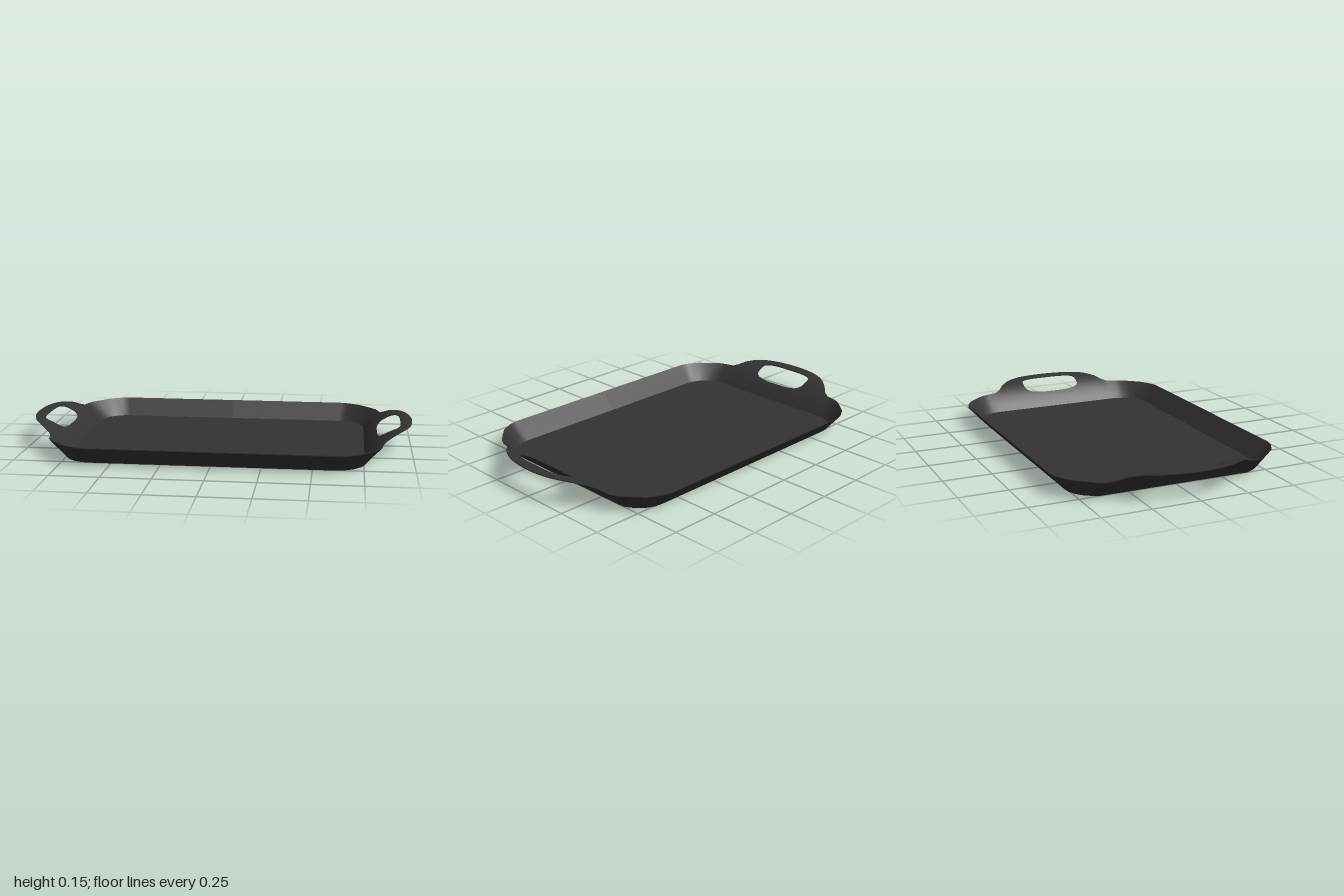
import * as THREE from 'three';
import { mergeGeometries } from 'three/addons/utils/BufferGeometryUtils.js';

const T = 0.005;        // sheet thickness
const FLOOR_X = 0.755, FLOOR_Z = 0.512, FLOOR_R = 0.15;
const HOLE_X = 0.88, HOLE_W = 0.06, HOLE_Z = 0.17;
const STEPS = 8;

// Curved handle section: steep at the floor, level at the tip
const handleY = (x) => 0.138 * (1 - Math.pow(Math.max(0, (1 - x) / (1 - FLOOR_X)), 2.5));
const handleEdgeX = (z) => 1 - 0.75 * z * z - 5 * z ** 4;

// One column of the wall: floor point, rim point, half width of grip hole, handle weight
function quadrantColumns() {
  const cols = [];
  const handleCol = (z, hole) =>
    cols.push({ ix: FLOOR_X, iz: z, ox: handleEdgeX(z), oz: z, hole, w: 1 });
  for (let i = 0; i <= 12; i++) {
    const s = Math.sin((i / 12) * Math.PI / 2);
    handleCol(HOLE_Z * s, i === 12 ? 0 : HOLE_W * Math.pow(1 - s ** 3.5, 1 / 3.5));
  }
  for (const z of [0.2, 0.23, 0.26, 0.3, 0.33]) handleCol(z, 0);
  // Rounded corner of the rim, matched to the floor corner
  const rim = [[0.843, 0.36], [0.836, 0.41], [0.82, 0.445], [0.786, 0.487], [0.733, 0.545], [0.67, 0.58], [0.626, 0.592]];
  rim.forEach(([ox, oz], i) => {
    const a = (i / (rim.length - 1)) * Math.PI / 2;
    cols.push({
      ix: FLOOR_X - FLOOR_R * (1 - Math.cos(a)),
      iz: FLOOR_Z - FLOOR_R * (1 - Math.sin(a)),
      ox, oz, hole: 0, w: [0.7, 0.3][i] ?? 0,
    });
  });
  cols.push({ ix: 0, iz: FLOOR_Z, ox: 0, oz: 0.592, hole: 0, w: 0 });
  return cols;
}

// Mirror the quadrant into a full closed loop
function loopColumns() {
  const flip = (cols, sx, sz) => cols.map((c) => ({ ...c, ix: c.ix * sx, ox: c.ox * sx, iz: c.iz * sz, oz: c.oz * sz }));
  const q = quadrantColumns();
  const half = [...q, ...flip(q.slice(0, -1).reverse(), -1, 1)];
  return [...half, ...flip(half.slice(1, -1).reverse(), 1, -1)];
}

// Point on a column's section at fraction s from floor to rim
function sectionPoint(c, s, drop) {
  const x = c.ix + (c.ox - c.ix) * s;
  const z = c.iz + (c.oz - c.iz) * s;
  const y = c.w * handleY(Math.abs(x)) + (1 - c.w) * 0.09 * s;
  return [x, y + T - drop, z];
}

// Fractions where the grip hole starts and ends
function holeSpan(c) {
  if (!c.hole) return [0.576, 0.576];
  const f = (x) => (x - FLOOR_X) / (Math.abs(c.ox) - FLOOR_X);
  return [f(HOLE_X - c.hole), f(HOLE_X + c.hole)];
}

// Closed strip: one row of points per column
function strip(cols, section, flip = false, keep = () => true) {
  const rows = cols.map(section);
  const m = rows[0].length, n = rows.length, index = [];
  for (let i = 0; i < n; i++) {
    const k = (i + 1) % n;
    if (!keep(cols[i], cols[k])) continue;
    for (let j = 0; j < m - 1; j++) {
      const a = i * m + j, b = k * m + j;
      const tris = [[a, b, a + 1], [b, b + 1, a + 1]];
      for (const [p, q, r] of tris) index.push(...(flip ? [p, r, q] : [p, q, r]));
    }
  }
  const g = new THREE.BufferGeometry();
  g.setAttribute('position', new THREE.Float32BufferAttribute(rows.flat(2), 3));
  g.setIndex(index);
  g.computeVertexNormals();
  return g;
}

export function createModel() {
  const group = new THREE.Group();
  const material = new THREE.MeshStandardMaterial({ color: 0x333333, side: THREE.DoubleSide });
  const add = (name, ...geometries) => {
    const mesh = new THREE.Mesh(mergeGeometries(geometries), material);
    mesh.name = name;
    group.add(mesh);
  };
  const cols = loopColumns();

  // Flat floor, upper and lower faces
  const floorShape = (sign) => new THREE.ShapeGeometry(
    new THREE.Shape(cols.map((c) => new THREE.Vector2(c.ix, sign * c.iz))));
  add('floor',
    floorShape(-1).rotateX(-Math.PI / 2).translate(0, T, 0),
    floorShape(1).rotateX(Math.PI / 2));

  // Sloping wall up to the grip holes, and the outer band forming rim and handles
  const band = (drop, outer) => (c) => {
    const [h0, h1] = holeSpan(c);
    const [from, to] = outer ? [h1, 1] : [0, h0];
    return Array.from({ length: STEPS + 1 }, (_, j) => sectionPoint(c, from + (to - from) * j / STEPS, drop));
  };
  add('wall', strip(cols, band(0, false)), strip(cols, band(T, false), true));
  add('rimAndHandles', strip(cols, band(0, true)), strip(cols, band(T, true), true));

  // Thin edges closing the sheet along the rim and inside the grip holes
  const edge = (at) => (c) => [sectionPoint(c, at(c), 0), sectionPoint(c, at(c), T)];
  const open = (a, b) => a.hole > 0 || b.hole > 0;
  add('rimEdge', strip(cols, edge(() => 1)));
  add('gripHoleEdges',
    strip(cols, edge((c) => holeSpan(c)[0]), false, open),
    strip(cols, edge((c) => holeSpan(c)[1]), true, open));

  return group;
}
